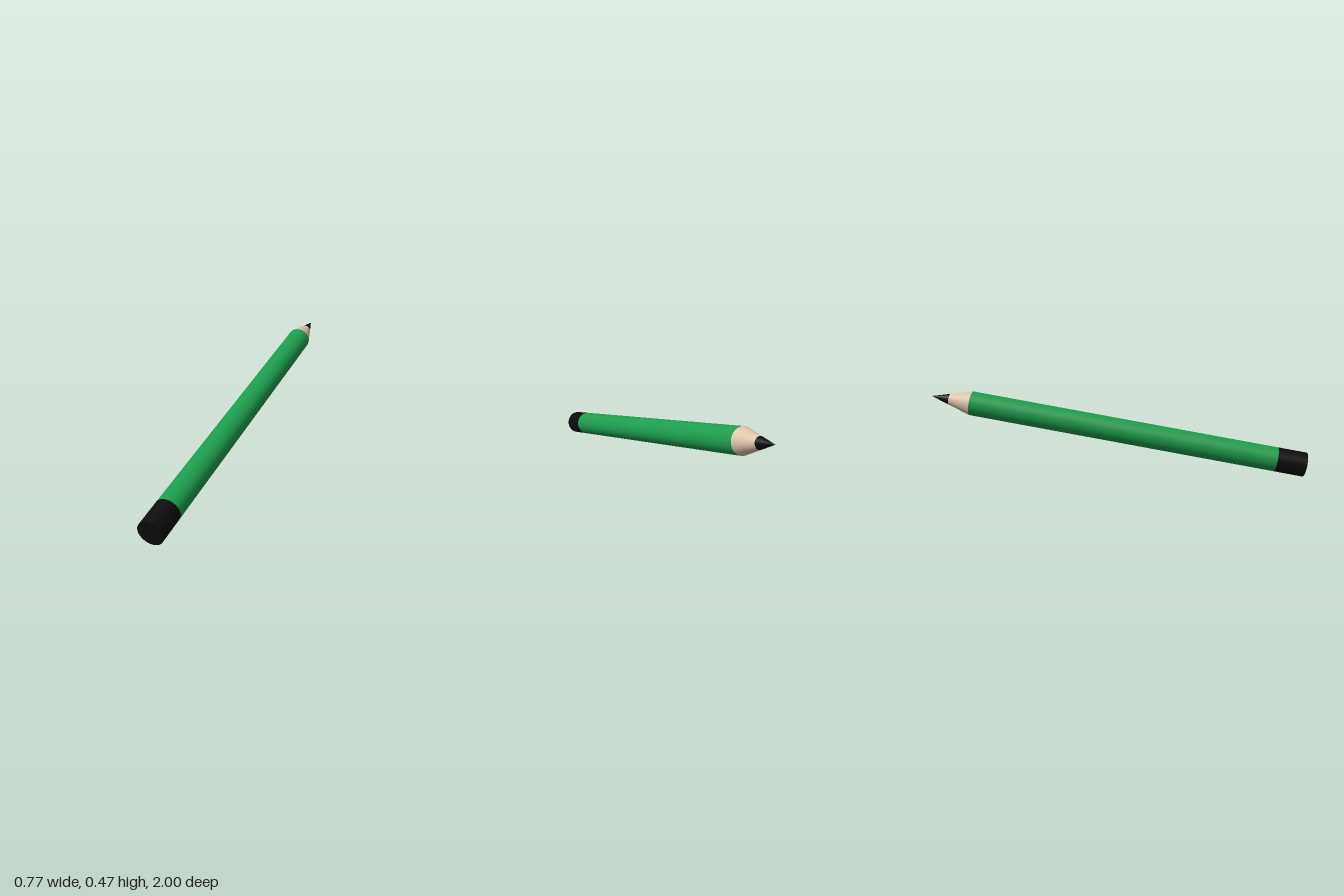
import * as THREE from 'three';

export function createModel() {
  const model = new THREE.Group();
  model.name = 'pencil';

  const radius = 0.068, leadRadius = 0.031, sides = 48;
  // Distances along the pencil from its blunt end
  const capEnd = 0.163, bodyEnd = 1.902, woodEnd = 2.028, tip = 2.132;

  const black = new THREE.MeshStandardMaterial({ color: 0x0c0c0c });
  const green = new THREE.MeshStandardMaterial({ color: 0x1e9e4e });
  const wood = new THREE.MeshStandardMaterial({ color: 0xdcc4ac });

  // One round section between two distances along the pencil
  function section(name, from, to, r0, r1, material, open = true) {
    const geometry = new THREE.CylinderGeometry(r1, r0, to - from, sides, 1, open);
    geometry.translate(0, (from + to) / 2, 0);
    const mesh = new THREE.Mesh(geometry, material);
    mesh.name = name;
    model.add(mesh);
  }

  section('endCap', 0, capEnd, radius, radius, black, false);
  section('barrel', capEnd, bodyEnd, radius, radius, green);
  section('sharpenedWood', bodyEnd, woodEnd, radius, leadRadius, wood);
  section('leadTip', woodEnd, tip, leadRadius, 0, black);

  // Lean the pencil from its blunt end at the front up to its tip at the back
  const direction = new THREE.Vector3(0.629, 0.332, -1.764).normalize();
  model.quaternion.setFromUnitVectors(new THREE.Vector3(0, 1, 0), direction);
  model.position.set(-0.321, 0.067, 0.975);

  const root = new THREE.Group();
  root.add(model);
  return root;
}
